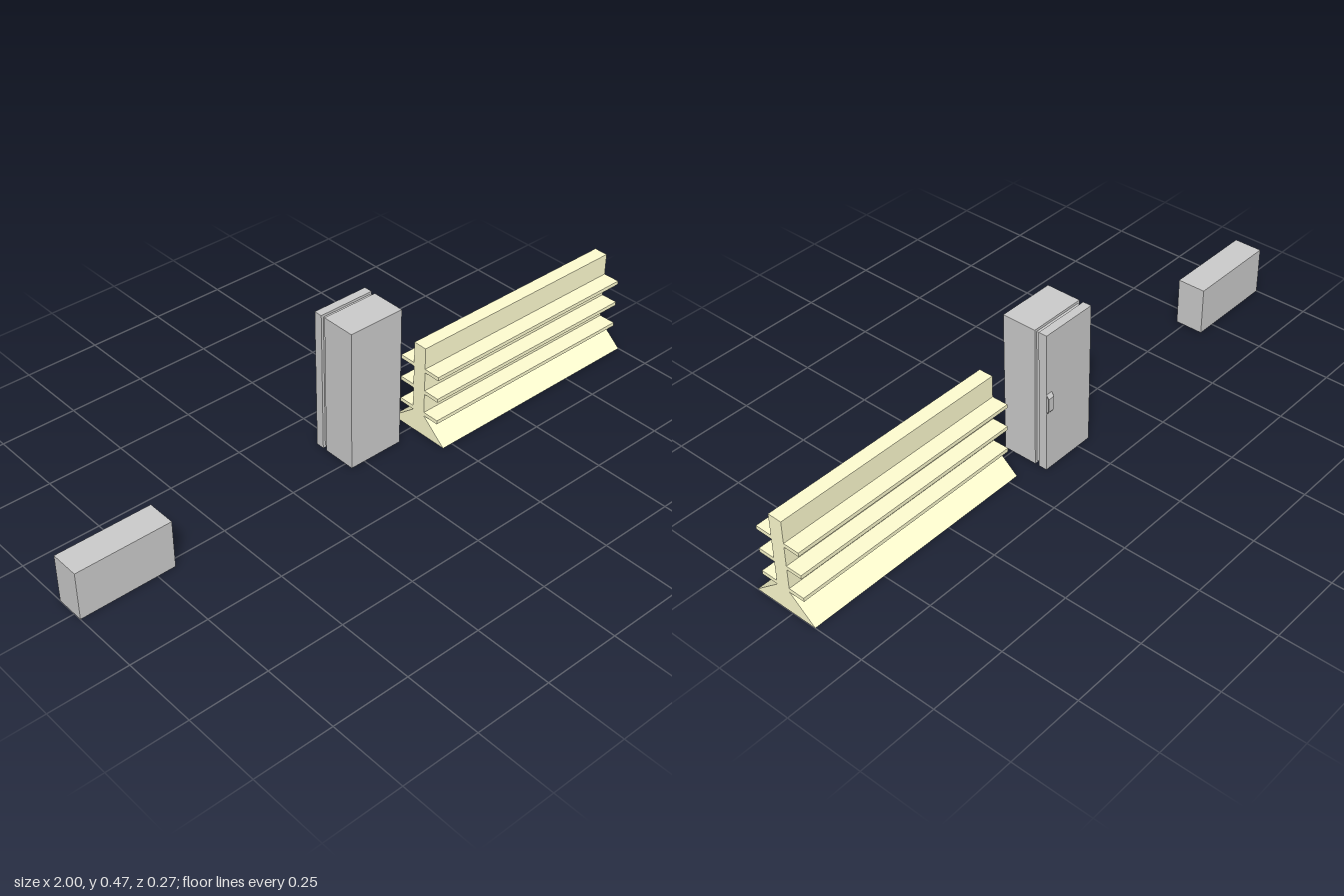
import * as THREE from 'three';

const grey = new THREE.MeshStandardMaterial({ color: 0xcccccc });
const cream = new THREE.MeshStandardMaterial({ color: 0xfffdd0 });

// Box given by its extents on each axis
function box(name, [x0, x1], [y0, y1], [z0, z1], material) {
  const mesh = new THREE.Mesh(new THREE.BoxGeometry(x1 - x0, y1 - y0, z1 - z0), material);
  mesh.position.set((x0 + x1) / 2, (y0 + y1) / 2, (z0 + z1) / 2);
  mesh.name = name;
  return mesh;
}

// Outline of [z, y] points, extruded along x
function profile(name, points, [x0, x1], material) {
  const shape = new THREE.Shape(points.map(([z, y]) => new THREE.Vector2(z, y)));
  const geometry = new THREE.ExtrudeGeometry(shape, { depth: x1 - x0, bevelEnabled: false });
  geometry.rotateY(-Math.PI / 2).translate(x1, 0, 0);
  const mesh = new THREE.Mesh(geometry, material);
  mesh.name = name;
  return mesh;
}

function createShelfUnit() {
  const group = new THREE.Group();
  group.name = 'shelfUnit';
  const span = [0.215, 1];
  // Upright spine flaring into a wide foot
  group.add(profile('spineAndFoot', [
    [-0.082, 0], [0.138, 0], [0.052, 0.072], [0.052, 0.315], [0.005, 0.315], [0.005, 0.072],
  ], span, cream));
  // Three shelves on each side of the spine
  for (const y of [0.073, 0.152, 0.23]) {
    group.add(box('frontShelf', span, [y, y + 0.0125], [0.052, 0.108], cream));
    group.add(box('backShelf', span, [y, y + 0.0125], [-0.049, 0.005], cream));
  }
  return group;
}

function createFridge() {
  const group = new THREE.Group();
  group.name = 'fridge';
  const width = [-0.05, 0.14];
  group.add(box('cabinet', width, [0, 0.472], [-0.086, 0.028], grey));
  group.add(box('doorSeal', [-0.042, 0.132], [0.008, 0.464], [-0.1, -0.086], grey));
  group.add(box('door', width, [0, 0.472], [-0.128, -0.1], grey));
  // Thin bracket handle on the door
  group.add(profile('doorHandle', [
    [-0.128, 0.202], [-0.137, 0.214], [-0.137, 0.259], [-0.128, 0.271],
    [-0.128, 0.267], [-0.135, 0.258], [-0.135, 0.215], [-0.128, 0.206],
  ], [0.118, 0.14], grey));
  return group;
}

export function createModel() {
  const model = new THREE.Group();
  model.name = 'shopFurniture';
  model.add(createShelfUnit(), createFridge());
  // Low plain counter standing apart
  model.add(box('counter', [-1, -0.69], [0, 0.16], [-0.067, 0.028], grey));
  return model;
}
